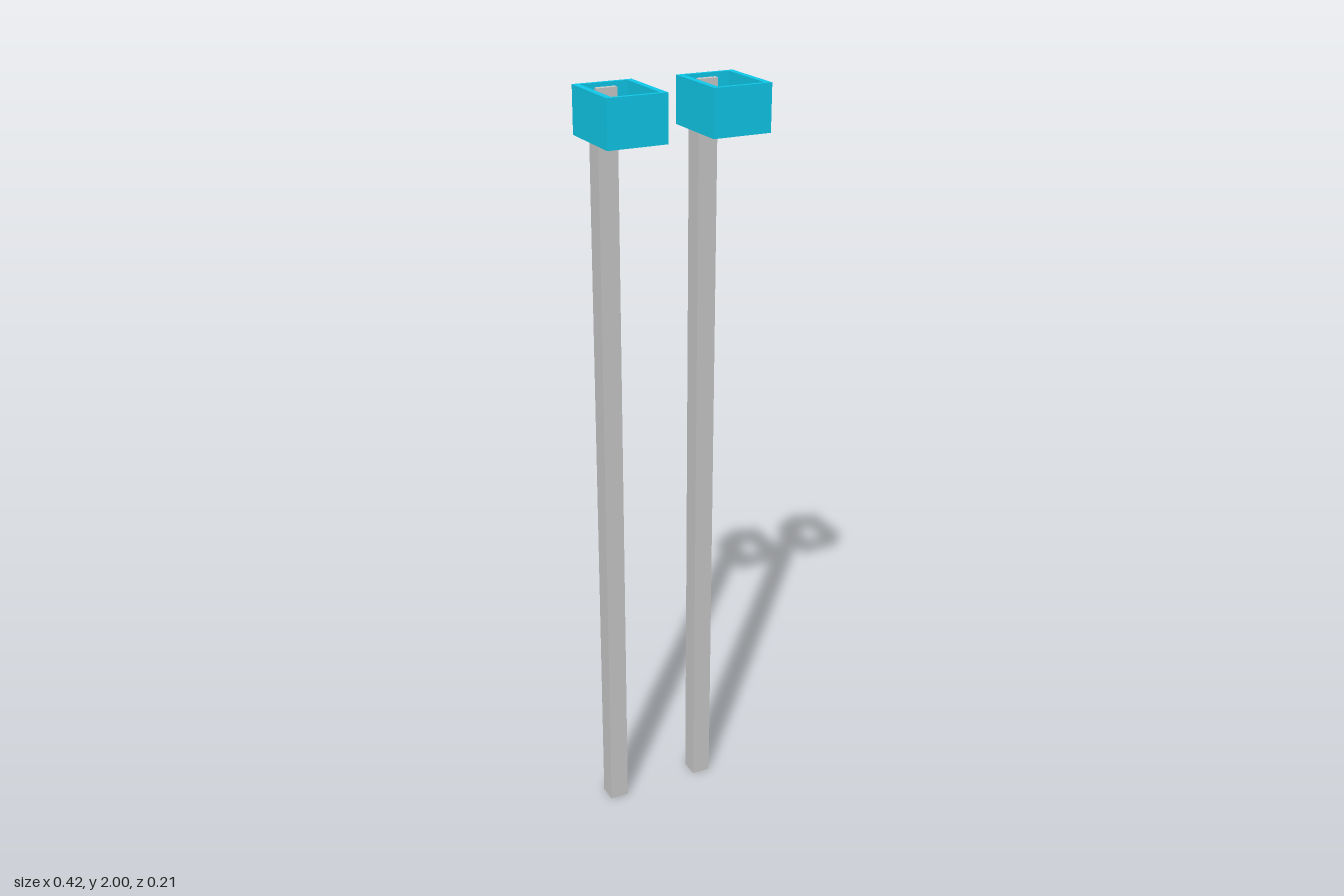
import * as THREE from 'three';

const rect = (Type, x0, x1, z0, z1) => new Type().setFromPoints([
  new THREE.Vector2(x0, z0), new THREE.Vector2(x1, z0),
  new THREE.Vector2(x1, z1), new THREE.Vector2(x0, z1),
]).closePath();

export function createModel() {
  const model = new THREE.Group();
  const grey = new THREE.MeshStandardMaterial({ color: 0xcccccc, flatShading: true });
  const cyan = new THREE.MeshStandardMaterial({ color: 0x10cbec, flatShading: true });

  // Square post
  const postGeometry = new THREE.BoxGeometry(0.051, 1.99, 0.051);
  postGeometry.translate(0, 0.995, -0.0825);

  // Rectangular collar, open above and below, thinner at front and back
  const outline = rect(THREE.Shape, -0.0755, 0.0755, -0.082, 0.106);
  outline.holes.push(rect(THREE.Path, -0.06, 0.06, -0.072, 0.096));
  const collarGeometry = new THREE.ExtrudeGeometry(outline, { depth: 0.115, bevelEnabled: false });
  collarGeometry.rotateX(Math.PI / 2).translate(0, 2, 0);

  // Matching pair on either side
  for (const [name, side] of [['left', 1], ['right', -1]]) {
    const pole = new THREE.Group();
    pole.name = name + 'Pole';
    pole.position.x = side * 0.1335;
    const post = new THREE.Mesh(postGeometry, grey);
    post.name = name + 'Post';
    post.position.x = side * -0.002;
    const collar = new THREE.Mesh(collarGeometry, cyan);
    collar.name = name + 'Collar';
    pole.add(post, collar);
    model.add(pole);
  }
  return model;
}
